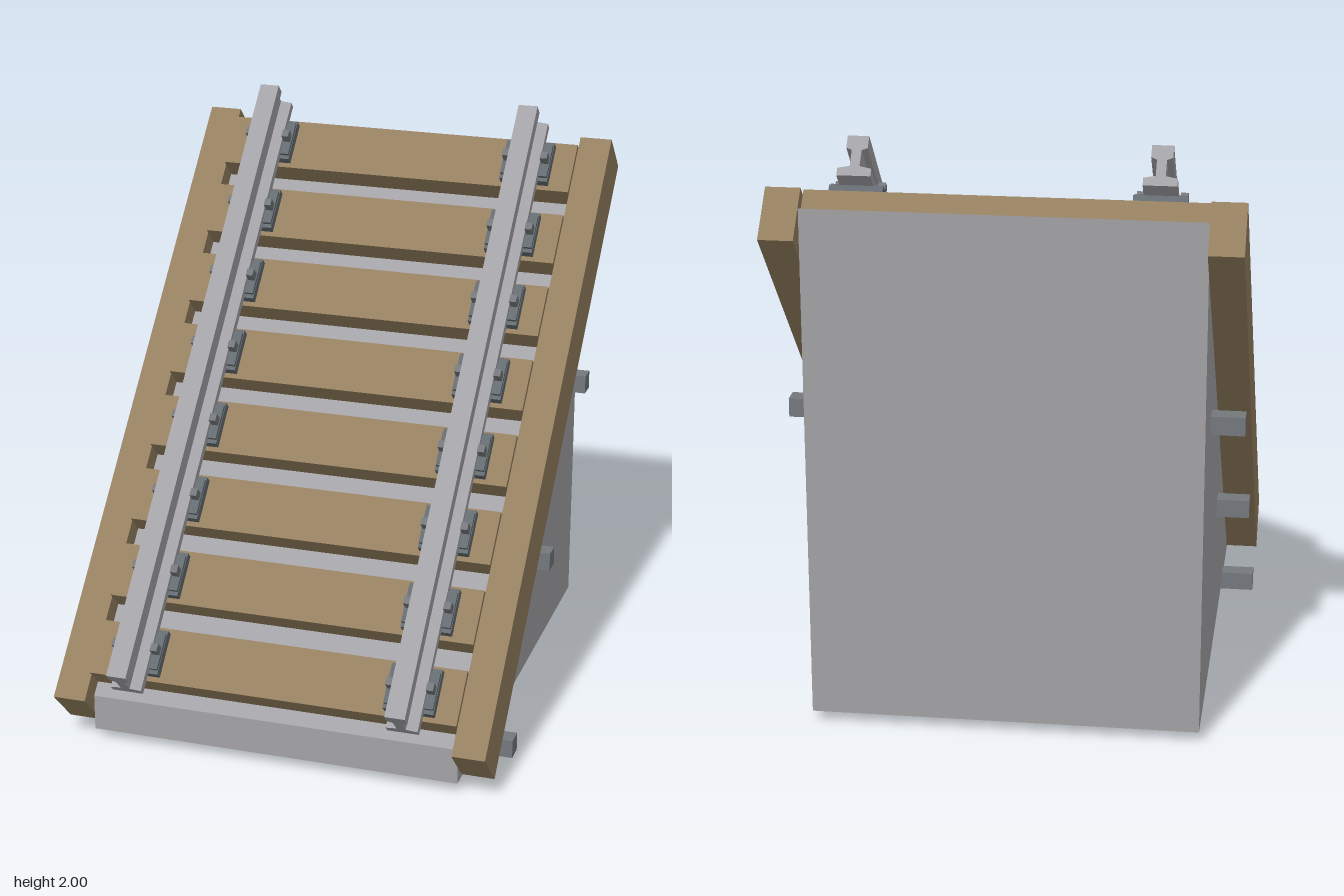
import * as THREE from 'three';

export function createModel() {
  const model = new THREE.Group();
  model.name = 'inclinedTrack';

  const mat = (name, color) => {
    const m = new THREE.MeshStandardMaterial({ color });
    m.name = name;
    return m;
  };
  const stone = mat('lightGrey', 0xa3a2a6);
  const wood = mat('woodBrown', 0x957f60);
  const iron = mat('ironGrey', 0x74787c);
  const slate = mat('darkSlate', 0x646b71);

  const add = (parent, name, geometry, material, x = 0, y = 0, z = 0) => {
    const mesh = new THREE.Mesh(geometry, material);
    mesh.name = name;
    mesh.position.set(x, y, z);
    parent.add(mesh);
    return mesh;
  };

  // Wedge base: side outline (z, y) extruded across the width
  const W = 0.655;
  const outline = new THREE.Shape([
    [-0.77, 0.038], [0.87, 0.038], [0.87, 1.805], [-0.77, 0.165],
  ].map(([a, b]) => new THREE.Vector2(a, b)));
  const wedge = new THREE.ExtrudeGeometry(outline, { depth: 2 * W, bevelEnabled: false });
  wedge.rotateY(Math.PI / 2);
  add(model, 'wedgeBase', wedge, stone, -W, 0, 0);

  // Cross bars running through the base and sticking out on both sides
  for (let i = 0; i < 3; i++) {
    add(model, 'crossBar', new THREE.BoxGeometry(1.54, 0.065, 0.065), iron,
      0, 0.0325 + i * 0.494, 0.44 - i * 0.492);
  }

  // Everything on the slope: local y is the slope normal, local -z runs uphill
  const slope = new THREE.Group();
  slope.name = 'slope';
  slope.rotation.x = Math.PI / 4;
  model.add(slope);

  // Box given by its range along the normal and uphill
  const slab = (name, material, x, width, n0, n1, u0, u1) =>
    add(slope, name, new THREE.BoxGeometry(width, n1 - n0, u1 - u0), material,
      x, (n0 + n1) / 2, -(u0 + u1) / 2);

  // I-shaped rail section
  const half = [[0.055, 0], [0.055, 0.028], [0.016, 0.036], [0.016, 0.095], [0.035, 0.103], [0.035, 0.148]];
  const section = new THREE.Shape([
    ...half, ...half.map(([x, y]) => [-x, y]).reverse(),
  ].map(([x, y]) => new THREE.Vector2(x, y)));
  const railGeo = new THREE.ExtrudeGeometry(section, { depth: 2.326, bevelEnabled: false });

  for (const s of [-1, 1]) {
    slab('sideBeam', wood, s * 0.7125, 0.115, 0.541, 0.735, -0.474, 1.895);
    add(slope, 'rail', railGeo, stone, s * 0.49, 0.785, -1.895);
  }

  // Sleepers with rail plates, clamps and bolts
  for (let i = 0; i < 8; i++) {
    const u = -0.277 + i * 0.29;
    slab('sleeper', wood, 0, 2 * W, 0.655, 0.754, u - 0.098, u + 0.098);
    for (const s of [-1, 1]) {
      slab('railPlate', slate, s * 0.49, 0.176, 0.753, 0.785, u - 0.08, u + 0.08);
      for (const e of [-1, 1]) {
        const x = s * 0.49 + e * 0.07;
        slab('clamp', slate, x, 0.032, 0.784, 0.797, u - 0.065, u + 0.065);
        slab('bolt', iron, x, 0.025, 0.79, 0.836, u - 0.014, u + 0.014);
      }
    }
  }
  return model;
}
